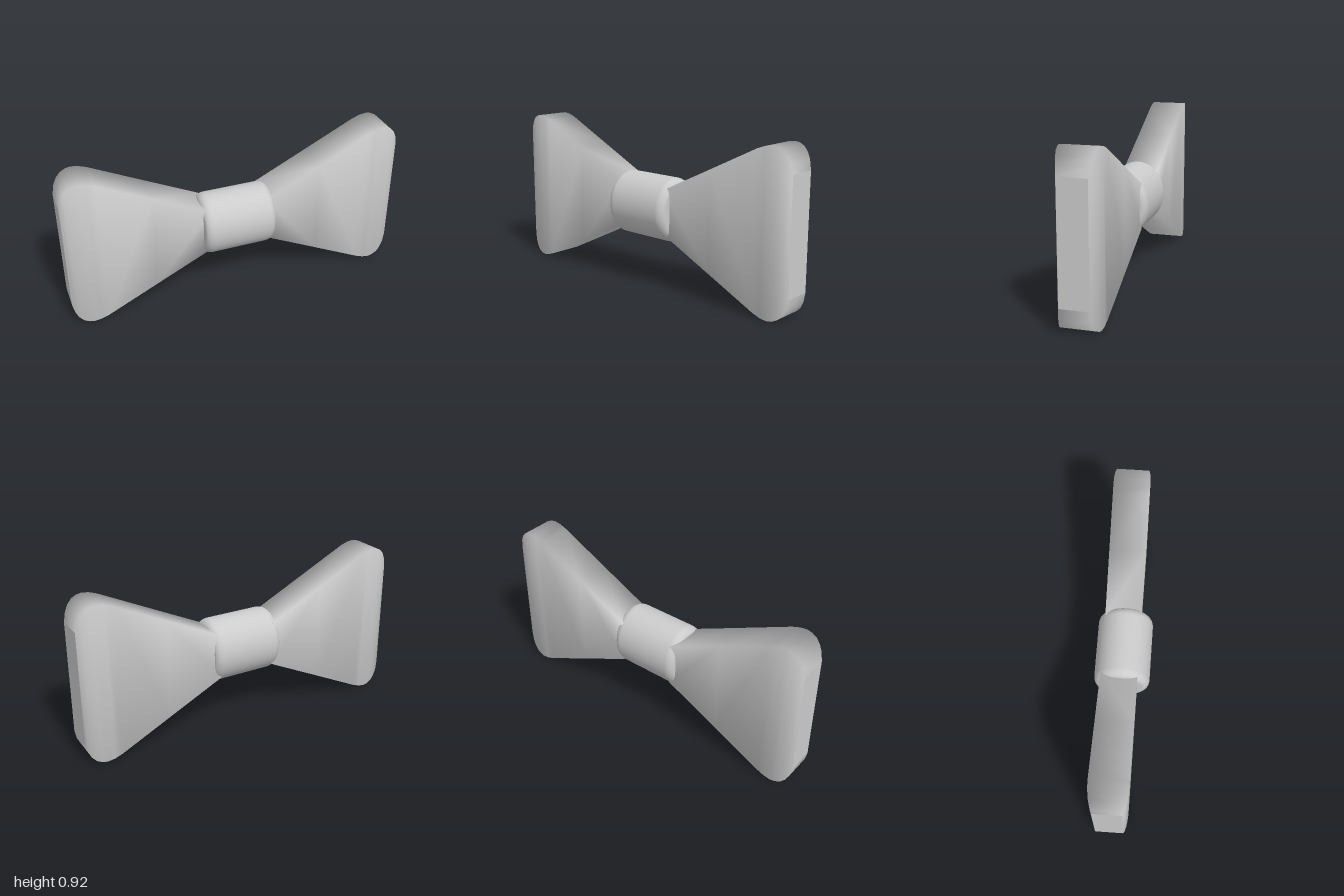
import * as THREE from 'three';

const CENTRE_Y = 0.462, WING_Z = -0.015;

// Wing cross-sections: [x, half height, half thickness]
const SECTIONS = [
  [0.17, 0.13, 0.105], [0.5, 0.291, 0.105],
  [0.8, 0.438, 0.105], [0.845, 0.454, 0.105], [0.885, 0.46, 0.104], [0.915, 0.456, 0.101],
  [0.945, 0.442, 0.097], [0.97, 0.416, 0.091], [0.988, 0.38, 0.086], [1, 0.325, 0.08],
];
const CORNERS = [[1, 1], [-1, 1], [-1, -1], [1, -1]];

// Loft rectangular sections along x with soft normals; side = 1 or -1 mirrors the wing
function wingGeometry(side) {
  const pos = [], index = [];
  const tri = (a, b, c) => (side > 0 ? index.push(a, c, b) : index.push(a, b, c));
  const addRing = ([x, h, t]) => {
    const start = pos.length / 3;
    for (const [sz, sy] of CORNERS) pos.push(side * x, sy * h, sz * t);
    return start;
  };
  const rings = SECTIONS.map(addRing);
  for (let s = 0; s < rings.length - 1; s++) {
    for (let i = 0; i < 4; i++) {
      const j = (i + 1) % 4;
      const a = rings[s] + i, b = rings[s] + j, c = rings[s + 1] + i, d = rings[s + 1] + j;
      tri(a, b, c);
      tri(b, d, c);
    }
  }
  // Flat end caps with their own corners, so their edges stay sharp
  const inner = addRing(SECTIONS[0]), outer = addRing(SECTIONS[SECTIONS.length - 1]);
  for (const i of [1, 2]) {
    tri(inner, inner + i + 1, inner + i);
    tri(outer, outer + i, outer + i + 1);
  }
  const g = new THREE.BufferGeometry();
  g.setAttribute('position', new THREE.Float32BufferAttribute(pos, 3));
  g.setIndex(index);
  g.computeVertexNormals();
  return g;
}

// Elliptical knot with rounded rims, turned about the x axis
function knotGeometry() {
  const half = 0.213, rx = 0.05, ry = 0.24, rim = [];
  for (let i = 0; i <= 8; i++) {
    const a = i / 8 * Math.PI / 2;
    rim.push(new THREE.Vector2(1 - ry + ry * Math.sin(a), -half + rx - rx * Math.cos(a)));
  }
  const lower = [new THREE.Vector2(0, -half), ...rim];
  const upper = lower.map((p) => new THREE.Vector2(p.x, -p.y)).reverse();
  const g = new THREE.LatheGeometry([...lower, ...upper], 64);
  g.rotateZ(-Math.PI / 2);
  g.scale(1, 0.186, 0.16);
  return g;
}

export function createModel() {
  const group = new THREE.Group();
  group.name = 'bowTie';
  const material = new THREE.MeshStandardMaterial({ color: 0xcccccc });

  for (const side of [1, -1]) {
    const wing = new THREE.Mesh(wingGeometry(side), material);
    wing.name = side > 0 ? 'leftWing' : 'rightWing';
    wing.position.set(0, CENTRE_Y, WING_Z);
    group.add(wing);
  }

  const knot = new THREE.Mesh(knotGeometry(), material);
  knot.name = 'knot';
  knot.position.y = CENTRE_Y + 0.001;
  group.add(knot);
  return group;
}
